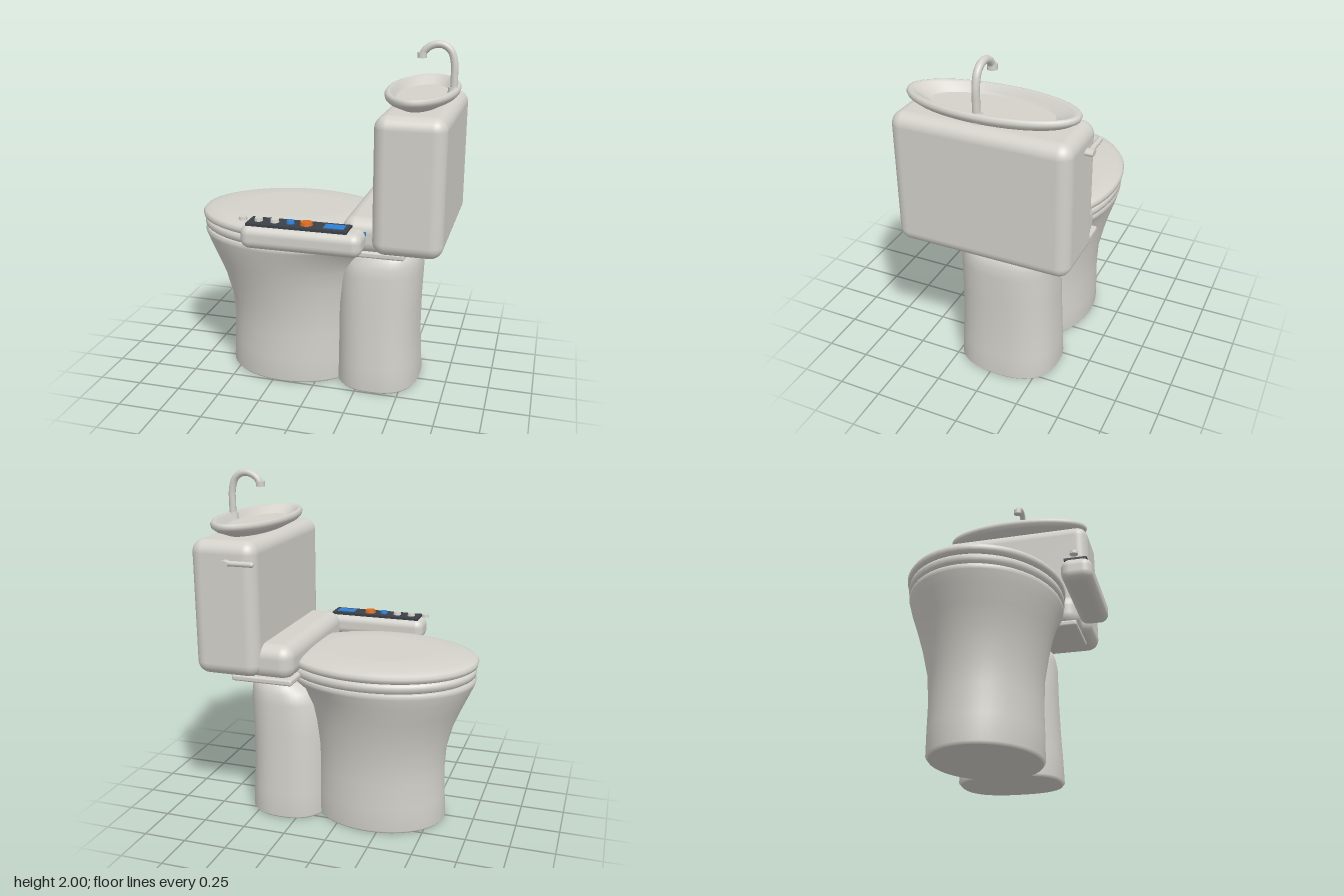
import * as THREE from 'three';
import { RoundedBoxGeometry } from 'three/addons/geometries/RoundedBoxGeometry.js';

const ZC = -0.042; // centre plane of the fixture

const material = (name, color) => {
  const m = new THREE.MeshStandardMaterial({ color });
  m.name = name;
  return m;
};

// Closed loft of (super)ellipses; each ring is [y, xMin, xMax, halfDepth]
function loft(rings, power = 2, seg = 48) {
  const pos = [], idx = [];
  const point = ([y, x0, x1, rz], i) => {
    const t = (i / seg) * Math.PI * 2, c = Math.cos(t), s = Math.sin(t);
    const f = (v) => Math.sign(v) * Math.abs(v) ** (2 / power);
    pos.push((x0 + x1) / 2 + ((x1 - x0) / 2) * f(c), y, ZC + rz * f(s));
  };
  rings.forEach((ring) => { for (let i = 0; i < seg; i++) point(ring, i); });
  for (let r = 0; r < rings.length - 1; r++) {
    for (let i = 0; i < seg; i++) {
      const j = (i + 1) % seg;
      const a = r * seg + i, b = r * seg + j, c = a + seg, d = b + seg;
      idx.push(a, c, b, b, c, d);
    }
  }
  // Flat end caps with their own vertices
  const cap = (ring, up) => {
    const start = pos.length / 3;
    for (let i = 0; i < seg; i++) point(ring, i);
    pos.push((ring[1] + ring[2]) / 2, ring[0], ZC);
    for (let i = 0; i < seg; i++) {
      const a = start + i, b = start + ((i + 1) % seg), m = start + seg;
      if (up) idx.push(m, b, a); else idx.push(m, a, b);
    }
  };
  cap(rings[0], false);
  cap(rings[rings.length - 1], true);
  const g = new THREE.BufferGeometry();
  g.setAttribute('position', new THREE.Float32BufferAttribute(pos, 3));
  g.setIndex(idx);
  g.computeVertexNormals();
  return g;
}

// Rounded box from its min and max corners
function slab([x0, y0, z0], [x1, y1, z1], radius) {
  return new RoundedBoxGeometry(x1 - x0, y1 - y0, z1 - z0, 5, radius)
    .translate((x0 + x1) / 2, (y0 + y1) / 2, (z0 + z1) / 2);
}

export function createModel() {
  const ceramic = material('ceramic', 0xd3d1ca);
  const dark = material('dark panel', 0x3b3f47);
  const blue = material('blue', 0x2f80d4);
  const orange = material('orange', 0xd96a1e);

  const model = new THREE.Group();
  model.name = 'toilet';
  const add = (name, geometry, mat = ceramic, parent = model) => {
    const mesh = new THREE.Mesh(geometry, mat);
    mesh.name = name;
    parent.add(mesh);
    return mesh;
  };

  // Flared bowl
  add('bowl', loft([
    [0, -0.572, 0.19, 0.29], [0.015, -0.585, 0.2, 0.302], [0.15, -0.578, 0.195, 0.302],
    [0.3, -0.571, 0.19, 0.3], [0.45, -0.58, 0.19, 0.308], [0.6, -0.62, 0.205, 0.338],
    [0.7, -0.662, 0.225, 0.364], [0.8, -0.708, 0.27, 0.396], [0.855, -0.732, 0.345, 0.414],
    [0.872, -0.737, 0.36, 0.418], [0.885, -0.728, 0.352, 0.412],
  ]));

  // Rear pillar
  add('rearPillar', loft([
    [0, 0.105, 0.577, 0.285], [0.015, 0.095, 0.588, 0.298], [0.15, 0.1, 0.58, 0.293],
    [0.3, 0.1, 0.573, 0.285], [0.5, 0.1, 0.575, 0.278], [0.7, 0.115, 0.583, 0.274],
    [0.76, 0.16, 0.577, 0.262], [0.795, 0.205, 0.568, 0.25], [0.812, 0.24, 0.555, 0.235],
  ], 2.5));

  // Seat ring and lid
  add('seat', loft([
    [0.888, -0.715, 0.35, 0.405], [0.9, -0.733, 0.368, 0.42], [0.92, -0.737, 0.37, 0.423],
    [0.936, -0.733, 0.366, 0.419], [0.945, -0.715, 0.35, 0.405],
  ]));
  add('lid', loft([
    [0.945, -0.725, 0.35, 0.412], [0.955, -0.742, 0.367, 0.428], [0.975, -0.747, 0.37, 0.432],
    [0.992, -0.735, 0.362, 0.422], [1.004, -0.69, 0.32, 0.388], [1.014, -0.61, 0.25, 0.325],
    [1.02, -0.5, 0.14, 0.24],
  ]));

  // Hinge plate and cover
  add('hingePlate', slab([0.19, 0.89, -0.49], [0.545, 0.925, 0.39], 0.012));
  add('hingeCover', slab([0.195, 0.905, -0.482], [0.46, 1.103, 0.397], 0.075));

  // Tank
  add('tank', slab([0.37, 0.92, -0.53], [0.748, 1.67, 0.445], 0.07));

  // Wash basin on the tank
  add('basin', loft([
    [1.66, 0.455, 0.645, 0.3], [1.675, 0.425, 0.675, 0.345], [1.7, 0.375, 0.725, 0.425],
    [1.72, 0.357, 0.743, 0.459], [1.738, 0.353, 0.747, 0.467], [1.752, 0.362, 0.738, 0.46],
    [1.756, 0.376, 0.724, 0.445], [1.748, 0.388, 0.712, 0.425], [1.72, 0.402, 0.698, 0.36],
    [1.708, 0.412, 0.688, 0.335],
  ]));

  // Faucet
  const faucet = new THREE.Group();
  faucet.name = 'faucet';
  model.add(faucet);
  const path = new THREE.CatmullRomCurve3([
    [0.712, 1.7], [0.712, 1.8], [0.71, 1.88], [0.69, 1.945], [0.655, 1.974],
    [0.615, 1.98], [0.575, 1.967], [0.547, 1.943], [0.535, 1.918],
  ].map(([x, y]) => new THREE.Vector3(x, y, ZC)));
  add('spout', new THREE.TubeGeometry(path, 40, 0.02, 12), ceramic, faucet);
  add('nozzle', new THREE.CylinderGeometry(0.026, 0.026, 0.03, 16)
    .translate(0.534, 1.92, ZC), ceramic, faucet);
  add('faucetCollar', new THREE.CylinderGeometry(0.025, 0.03, 0.04, 16)
    .translate(0.708, 1.735, ZC), ceramic, faucet);

  // Flush lever
  const lever = new THREE.Group();
  lever.name = 'flushLever';
  model.add(lever);
  add('leverPivot', new THREE.CylinderGeometry(0.028, 0.028, 0.05, 16)
    .rotateX(Math.PI / 2).scale(1, 0.6, 1).translate(0.525, 1.56, -0.545), ceramic, lever);
  add('leverHandle', new THREE.CapsuleGeometry(0.015, 0.14, 5, 12)
    .rotateZ(Math.PI / 2).translate(0.445, 1.56, -0.545), ceramic, lever);

  // Control arm
  const arm = new THREE.Group();
  arm.name = 'controlArm';
  model.add(arm);
  add('armBody', slab([-0.318, 0.938, 0.395], [0.346, 1.07, 0.566], 0.05), ceramic, arm);
  add('controlPanel', new THREE.BoxGeometry(0.555, 0.014, 0.126)
    .translate(-0.008, 1.073, 0.477), dark, arm);
  add('display', new THREE.BoxGeometry(0.11, 0.008, 0.064)
    .translate(0.19, 1.081, 0.477), blue, arm);
  add('sideIndicator', new THREE.BoxGeometry(0.02, 0.02, 0.012)
    .translate(0.33, 1.03, 0.4), blue, arm);

  // Buttons: x, radius, colour
  [
    [-0.32, 0.024, ceramic], [-0.23, 0.024, ceramic], [-0.14, 0.025, ceramic],
    [-0.053, 0.023, blue], [0.036, 0.035, orange],
  ].forEach(([x, r, mat], i) => {
    add(`button${i + 1}`, new THREE.CylinderGeometry(r * 0.9, r, 0.018, 12)
      .translate(x, 1.088, 0.477), mat, arm);
  });

  return model;
}
